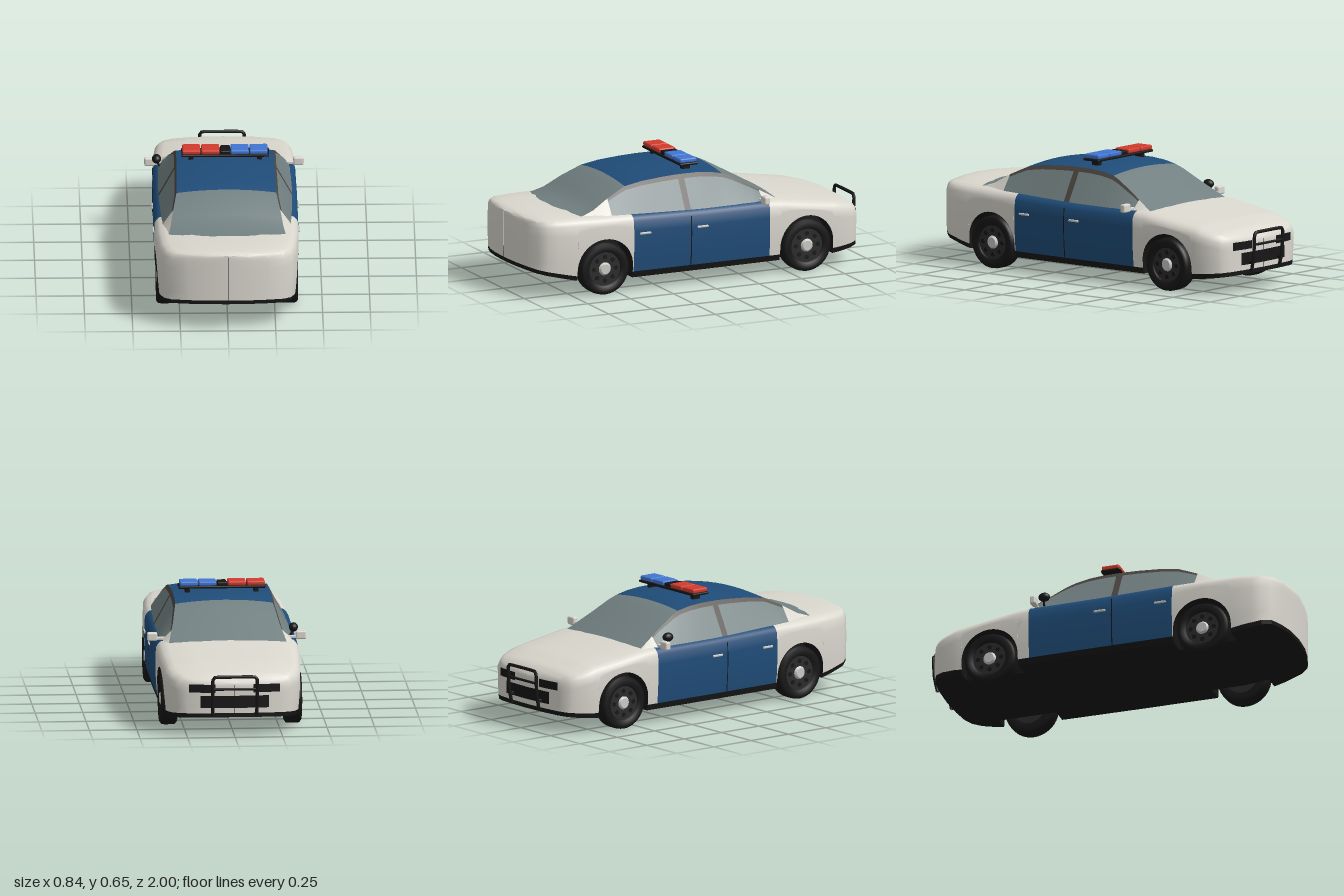
import * as THREE from 'three';
import { toCreasedNormals } from 'three/addons/utils/BufferGeometryUtils.js';
import { RoundedBoxGeometry } from 'three/addons/geometries/RoundedBoxGeometry.js';

const mat = (name, color) => {
  const m = new THREE.MeshStandardMaterial({ color, side: THREE.DoubleSide });
  m.name = name;
  return m;
};
const white = mat('whitePaint', 0xdad7ce), blue = mat('bluePaint', 0x1f4c78), glass = mat('glass', 0x728081),
  black = mat('blackPlastic', 0x161616), trim = mat('windowTrim', 0x4c4641), red = mat('redLens', 0xd23b2d),
  azure = mat('blueLens', 0x4076d2), metal = mat('brightMetal', 0xc9c9c5), rimGrey = mat('rimGrey', 0x2b2b2b);

// Piecewise linear curve through [input, output] pairs
const curve = pts => v => {
  if (v <= pts[0][0]) return pts[0][1];
  for (let i = 1; i < pts.length; i++) {
    const [a, p] = pts[i - 1], [b, q] = pts[i];
    if (v <= b) return p + (q - p) * (v - a) / (b - a);
  }
  return pts[pts.length - 1][1];
};

// Skin through cross-sections; pick(section, strip) gives a material index
function loft(name, sections, materials, pick = () => 0, crease = 0.75) {
  const n = sections[0].length, lists = materials.map(() => []);
  for (let j = 0; j < sections.length - 1; j++)
    for (let i = 0; i < n - 1; i++) {
      const a = j * n + i;
      lists[pick(j, i)].push(a, a + 1, a + n, a + 1, a + n + 1, a + n);
    }
  const geo = new THREE.BufferGeometry();
  geo.setAttribute('position', new THREE.Float32BufferAttribute(sections.flat(2), 3));
  geo.setIndex(lists.flat());
  let start = 0;
  lists.forEach((l, k) => { geo.addGroup(start, l.length, k); start += l.length; });
  const mesh = new THREE.Mesh(toCreasedNormals(geo, crease), materials);
  mesh.name = name;
  return mesh;
}
// Half section (outer edge to centre line) to full section
const mirrored = half => [...half, ...half.slice(0, -1).reverse().map(([x, y, z]) => [-x, y, z])];

const ARCHES = [-0.596, 0.583], ARCH_R = 0.158, AXLE_Y = 0.14;
const planPts = [[-0.957, 0.001], [-0.951, 0.15], [-0.937, 0.25], [-0.915, 0.3], [-0.87, 0.335], [-0.8, 0.355],
  [-0.6, 0.369], [-0.4, 0.376], [0, 0.38], [0.4, 0.38], [0.6, 0.377], [0.8, 0.362], [0.9, 0.338], [0.945, 0.3],
  [0.973, 0.21], [0.99, 0.12], [0.997, 0.001]];
const width = curve(planPts);
const deck = curve([[-0.957, 0.275], [-0.935, 0.305], [-0.9, 0.33], [-0.77, 0.365], [-0.61, 0.388], [-0.45, 0.412],
  [-0.375, 0.418], [0, 0.42], [0.42, 0.43], [0.75, 0.436], [0.9, 0.437], [0.97, 0.433], [1, 0.422]]);
const paintEdge = curve([[-0.957, 0.122], [-0.76, 0.105], [-0.43, 0.108], [0.42, 0.11], [0.74, 0.115], [0.997, 0.17]]);
const floorY = curve([[-0.957, 0.1], [-0.76, 0.077], [0.6, 0.077], [0.74, 0.09], [0.997, 0.15]]);
const bulge = y => 1 - 0.9 * (y - 0.28) ** 2;
const sideX = (z, y) => width(z) * bulge(y);

// Lengthwise stations, dense around the wheel arches
function stations() {
  const list = [];
  const add = (z, arch = false) => list.push({ z, edge: paintEdge(z), arch });
  const inArch = z => ARCHES.some(c => Math.abs(z - c) <= ARCH_R);
  const plain = [...planPts.map(p => p[0]), -0.93, -0.9, -0.77, -0.45, -0.375, -0.2, 0.2, 0.42, 0.75, 0.85, 0.97];
  [...new Set(plain)].filter(z => !inArch(z) || z === 0.42).forEach(z => add(z));
  for (const c of ARCHES) {
    add(c - ARCH_R - 1e-4);
    for (let k = 0; k <= 24; k++) {
      const a = Math.PI * (1 - k / 24);
      list.push({ z: c + ARCH_R * Math.cos(a), edge: 0.145 + ARCH_R * Math.sin(a), arch: true });
    }
    add(c + ARCH_R + 1e-4);
  }
  return list.sort((p, q) => p.z - q.z);
}

function createBody(car) {
  const st = stations();
  // Painted shell
  const shell = st.map(({ z, edge }) => {
    const w = width(z), t = deck(z), half = [];
    for (let k = 0; k <= 5; k++) {
      const y = edge + (t - 0.05 - edge) * k / 5;
      half.push([w * bulge(y), y, z]);
    }
    for (const [f, d] of [[0.965, 0.033], [0.93, 0.02], [0.85, 0.012], [0.5, 0.003], [0, 0]]) half.push([w * f, t - d, z]);
    return mirrored(half);
  });
  car.add(loft('bodyShell', shell, [white, blue], j => {
    const m = (st[j].z + st[j + 1].z) / 2;
    return m > -0.375 && m < 0.42 ? 1 : 0;
  }));
  // Sills, wheel wells and floor
  const under = st.map(({ z, edge, arch }) => {
    const w = sideX(z, edge), f = floorY(z), inner = arch ? 0.26 : w * 0.98;
    return mirrored([[w, edge, z], [inner, arch ? edge : f, z], [inner, f, z], [0, f, z]]);
  });
  car.add(loft('underbody', under, [black], () => 0, 0.4));
}

// Cabin with windscreen, roof, rear window and side windows
function createCabin(car) {
  const ridge = curve([[-0.45, 0.414], [-0.3, 0.497], [-0.2, 0.552], [-0.15, 0.573], [-0.08, 0.587], [0, 0.594],
    [0.1, 0.595], [0.2, 0.591], [0.32, 0.582], [0.42, 0.565], [0.52, 0.52], [0.62, 0.463], [0.68, 0.443], [0.75, 0.436]]);
  const rail = curve([[-0.45, 0.312], [-0.3, 0.279], [-0.15, 0.256], [0.1, 0.256], [0.42, 0.262], [0.6, 0.292], [0.75, 0.316]]);
  const base = curve([[-0.45, 0.33], [-0.35, 0.35], [0.1, 0.357], [0.53, 0.353], [0.75, 0.33]]);
  const zs = [-0.45, -0.4, -0.35, -0.3, -0.2, -0.15, -0.08, 0, 0.075, 0.11, 0.2, 0.32, 0.42, 0.47, 0.53, 0.58, 0.62, 0.68, 0.75];
  const sections = zs.map(z => {
    const b = [base(z), 0.392], r = [rail(z), ridge(z) - 0.018];
    const mix = k => [b[0] + (r[0] - b[0]) * k, b[1] + (r[1] - b[1]) * k, z];
    const half = [mix(0), mix(0.88), mix(1)];
    for (const f of [0.75, 0.5, 0.25, 0]) half.push([r[0] * f, ridge(z) - 0.018 * f * f, z]);
    return mirrored(half);
  });
  car.add(loft('cabin', sections, [white, blue, glass, trim], (j, i) => {
    const z = (zs[j] + zs[j + 1]) / 2, strip = Math.min(i, 11 - i);
    if (strip > 1) return z > -0.15 && z < 0.42 ? 1 : 2;
    if (z > 0.53 || z < -0.35) return 0;
    return strip === 1 || (z > 0.075 && z < 0.11) ? 3 : 2;
  }, 0.5));
}

function createWheel() {
  const wheel = new THREE.Group();
  const add = (name, geo, m, x = 0) => {
    const mesh = new THREE.Mesh(geo.rotateZ(-Math.PI / 2), m);
    mesh.name = name;
    mesh.position.x = x;
    wheel.add(mesh);
  };
  const tyre = [[0.088, -0.04], [0.125, -0.045], [0.138, -0.035], [0.14, -0.02], [0.14, 0.02], [0.138, 0.035], [0.125, 0.045], [0.095, 0.043], [0.088, 0.03]];
  add('tyre', new THREE.LatheGeometry(tyre.map(p => new THREE.Vector2(...p)), 40), black);
  add('rim', new THREE.CylinderGeometry(0.09, 0.09, 0.06, 32), rimGrey, 0.003);
  add('hubCap', new THREE.CylinderGeometry(0.026, 0.036, 0.012, 24), metal, 0.038);
  // Ring of rim openings
  for (let k = 0; k < 8; k++) {
    const a = k * Math.PI / 4;
    const hole = new THREE.Mesh(new THREE.CylinderGeometry(0.012, 0.012, 0.004, 12).rotateZ(Math.PI / 2), black);
    hole.name = 'rimOpening';
    hole.position.set(0.034, 0.064 * Math.cos(a), 0.064 * Math.sin(a));
    wheel.add(hole);
  }
  return wheel;
}

export function createModel() {
  const car = new THREE.Group();
  car.name = 'patrolCar';
  const box = (name, m, size, pos, r = 0.006) => {
    const mesh = new THREE.Mesh(new RoundedBoxGeometry(...size, 2, r), m);
    mesh.name = name;
    mesh.position.set(...pos);
    car.add(mesh);
    return mesh;
  };
  const tube = (name, pts, r) => {
    const path = new THREE.CatmullRomCurve3(pts.map(p => new THREE.Vector3(...p)), false, 'catmullrom', 0.2);
    const mesh = new THREE.Mesh(new THREE.TubeGeometry(path, 48, r, 8), black);
    mesh.name = name;
    car.add(mesh);
  };
  createBody(car);
  createCabin(car);

  for (const s of [1, -1]) {
    for (const z of ARCHES) {
      const wheel = createWheel();
      wheel.name = z < 0 ? 'frontWheel' : 'rearWheel';
      wheel.position.set(s * 0.327, AXLE_Y, z);
      wheel.scale.x = s;
      car.add(wheel);
    }
    // Door seam, handles, mirrors and light bar feet
    const seam = [0.083, 0.089].map(z => [0.11, 0.2, 0.28, 0.34, 0.375].map(y => [s * (sideX(z, y) + 0.002), y, z]));
    car.add(loft('doorSeam', seam, [black]));
    for (const z of [0.355, 0.02]) box('doorHandle', metal, [0.012, 0.012, 0.065], [s * 0.381, 0.313, z], 0.004);
    box('mirror', white, [0.055, 0.045, 0.032], [s * 0.391, 0.418, -0.34], 0.009);
    box('mirrorArm', white, [0.05, 0.016, 0.018], [s * 0.35, 0.408, -0.34], 0.004);
    box('lightBarFoot', black, [0.026, 0.035, 0.05], [s * 0.18, 0.592, 0.027]);
  }

  // Roof light bar
  box('lightBarBase', black, [0.46, 0.014, 0.105], [0, 0.616, 0.027]);
  for (const [x, m] of [[-0.178, red], [-0.078, red], [0.076, azure], [0.175, azure]])
    box('lightBarLens', m, [0.095, 0.024, 0.098], [x, 0.634, 0.027], 0.008);
  box('lightBarCentre', black, [0.05, 0.02, 0.09], [0, 0.631, 0.027]);

  // Spot lamp beside the windscreen
  const lamp = new THREE.Mesh(new THREE.SphereGeometry(0.024, 20, 12), black);
  lamp.name = 'spotLamp';
  lamp.scale.z = 1.3;
  lamp.position.set(-0.355, 0.451, -0.295);
  car.add(lamp);
  tube('spotLampArm', [[-0.355, 0.45, -0.295], [-0.345, 0.42, -0.3], [-0.33, 0.4, -0.3]], 0.006);

  // Grille plates following the curved nose
  const noseZ = curve(planPts.slice(0, 6).map(([z, w]) => [w, z]));
  const grille = (name, x0, x1, y0, y1) => {
    const sections = [];
    for (let k = 0; k <= 10; k++) {
      const x = x0 + (x1 - x0) * k / 10;
      sections.push([y0, y1].map(y => [x, y, noseZ(Math.abs(x) / bulge(y)) - 0.005]));
    }
    car.add(loft(name, sections, [black]));
  };
  grille('lowerGrille', -0.18, 0.18, 0.15, 0.215);
  grille('upperGrille', 0.1, 0.24, 0.232, 0.275);
  grille('upperGrille', -0.24, -0.1, 0.232, 0.275);

  // Push bar
  tube('pushBarHoop', [[0.115, 0.11, -0.968], [0.117, 0.2, -0.985], [0.117, 0.3, -0.99], [0.1, 0.32, -0.99],
    [-0.1, 0.32, -0.99], [-0.117, 0.3, -0.99], [-0.117, 0.2, -0.985], [-0.115, 0.11, -0.968]], 0.009);
  tube('pushBarRail', [[0.117, 0.255, -0.988], [-0.117, 0.255, -0.988]], 0.007);
  for (const s of [1, -1]) box('pushBarBracket', black, [0.014, 0.02, 0.05], [s * 0.116, 0.16, -0.962], 0.004);
  return car;
}
